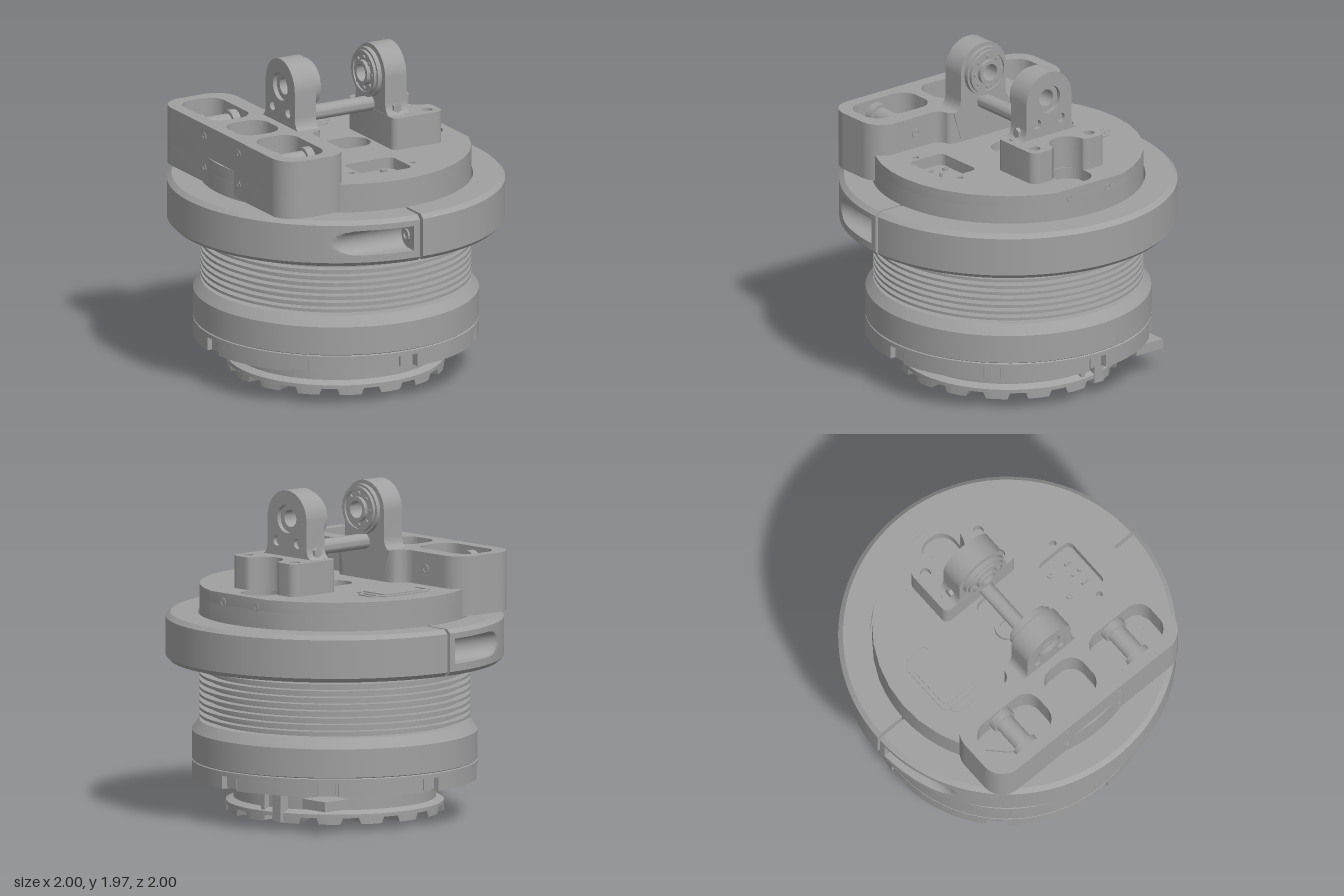
import * as THREE from 'three';
import { toCreasedNormals } from 'three/addons/utils/BufferGeometryUtils.js';

const PI = Math.PI;

export function createModel() {
  const root = new THREE.Group();
  root.name = 'clampedActuator';
  const metal = new THREE.MeshStandardMaterial({ color: 0xa0a0a0, side: THREE.DoubleSide });
  metal.name = 'grey metal';

  const add = (name, geo, x = 0, y = 0, z = 0) => {
    const m = new THREE.Mesh(toCreasedNormals(geo, 0.5), metal);
    m.name = name;
    m.position.set(x, y, z);
    root.add(m);
    return m;
  };
  const lathe = (pts, seg = 72, p0 = 0, len = PI * 2) =>
    new THREE.LatheGeometry(pts.map(p => new THREE.Vector2(p[0], p[1])), seg, p0, len);
  // Shape drawn in x,z and raised from y0 to y1
  const plan = (shape, y0, y1) =>
    new THREE.ExtrudeGeometry(shape, { depth: y1 - y0, bevelEnabled: false, curveSegments: 16 })
      .rotateX(PI / 2).translate(0, y1, 0);
  const poly = pts => new THREE.Shape(pts.map(p => new THREE.Vector2(p[0], p[1])));
  const circle = (x, z, r) => new THREE.Shape().absarc(x, z, r, 0, PI * 2);
  const rrect = (x0, x1, z0, z1, r) => new THREE.Shape()
    .absarc(x1 - r, z1 - r, r, 0, PI / 2).absarc(x0 + r, z1 - r, r, PI / 2, PI)
    .absarc(x0 + r, z0 + r, r, PI, PI * 1.5).absarc(x1 - r, z0 + r, r, PI * 1.5, PI * 2).closePath();
  const cut = (shape, ...holes) => { shape.holes.push(...holes); return shape; };
  // Hollow or solid turned part along x
  const turnX = (pts, seg = 32) => lathe(pts, seg).rotateZ(-PI / 2);
  const tubePts = (ri, ro, h) => [[ri, 0], [ro, 0], [ro, h], [ri, h], [ri, 0]];
  const sector = (r0, r1, a0, a1) => new THREE.Shape().absarc(0, 0, r1, a0, a1).absarc(0, 0, r0, a1, a0, true).closePath();

  // Finned body and lower ring
  const body = [[0, 0.305], [0.845, 0.305], [0.845, 0.33], [0.838, 0.335], [0.845, 0.34], [0.845, 0.51], [0.8, 0.57], [0.745, 0.572]];
  for (let i = 0; i < 9; i++) {
    const y = 0.592 + i * 0.0405;
    body.push([0.745, y], [0.8, y], [0.8, y + 0.016], [0.745, y + 0.016]);
  }
  body.push([0.745, 0.94], [0.812, 0.94], [0.812, 1.12], [0, 1.12]);
  add('finnedBody', lathe(body, 96));

  // Notched bolt ring
  const rim = [];
  for (let k = 0; k < 8; k++) {
    const c = k * PI / 4, w = 0.075;
    rim.push([0.785 * Math.cos(c - w), 0.785 * Math.sin(c - w)], [0.785 * Math.cos(c + w), 0.785 * Math.sin(c + w)]);
    for (let j = 0; j <= 8; j++) {
      const a = c + w + (PI / 4 - 2 * w) * j / 8;
      rim.push([0.845 * Math.cos(a), 0.845 * Math.sin(a)]);
    }
  }
  const boltRing = cut(poly(rim), circle(0, 0, 0.71));
  for (let k = 0; k < 24; k++) if (k % 3) {
    const a = k * PI / 12;
    boltRing.holes.push(circle(0.775 * Math.cos(a), 0.775 * Math.sin(a), 0.02));
  }
  add('boltRing', plan(boltRing, 0.225, 0.305));
  for (let k = 0; k < 8; k++)
    add('notchBlock', new THREE.BoxGeometry(0.06, 0.07, 0.08).translate(0.795, 0.27, 0).rotateY(k * PI / 4));
  add('sealRing', lathe([[0.65, 0.305], [0.65, 0.2], [0.69, 0.2], [0.69, 0.305]]));

  // Base hub with four curved pockets
  const hub = circle(0, 0, 0.6);
  for (let k = 0; k < 4; k++)
    hub.holes.push(sector(0.27, 0.43, k * PI / 2 - 0.45, k * PI / 2 + 0.45));
  add('hub', plan(hub, 0.07, 0.2));
  add('hubCore', plan(circle(0, 0, 0.6), 0.2, 0.31));
  add('hubFlange', lathe([[0.45, 0.068], [0.645, 0.068], [0.645, 0.09], [0.6, 0.11]], 64));
  add('centreDisc', plan(circle(0, 0, 0.25), 0.05, 0.08));
  for (let k = 0; k < 16; k++) {
    const a = k * PI / 8;
    // Tooth tapers toward its lower face
    const tooth = plan(sector(0.45, 0.645, -0.125, 0.125), 0.03, 0.07);
    const p = tooth.attributes.position;
    for (let i = 0; i < p.count; i++) if (p.getY(i) < 0.05) p.setZ(i, p.getZ(i) * 0.8);
    add('baseTooth', tooth.rotateY(a));
  }
  for (let k = 0; k < 4; k++) {
    const a = k * PI / 2 + PI / 4;
    add('hubBolt', lathe([[0, 0.04], [0.012, 0.04], [0.012, 0.025], [0.028, 0.025], [0.028, 0.07]], 16), 0.3 * Math.cos(a), 0, 0.3 * Math.sin(a));
  }
  for (const s of [1, -1]) add('driveKey', new THREE.BoxGeometry(0.16, 0.06, 0.04), 0, 0.03, s * 0.092);
  add('sensorBlock', new THREE.BoxGeometry(0.2, 0.06, 0.2), 0.56, 0.175, -0.54);
  add('cableGuide', new THREE.BoxGeometry(0.06, 0.17, 0.03), 0.6, 0.12, -0.06);
  add('cableGuide', new THREE.BoxGeometry(0.06, 0.17, 0.07), 0.6, 0.12, -0.18);

  // Split clamp ring, built from capped sectors
  const ring = [[0.81, 0.93], [0.975, 0.93], [1, 0.955], [1, 0.999]];
  for (let i = 0; i <= 14; i++) ring.push([1, 1.075 - 0.075 * Math.cos(PI * i / 14)]);
  ring.push([1, 1.151], [1, 1.185], [0.972, 1.21], [0.81, 1.21], [0.81, 0.93]);
  const carve = geo => {
    const p = geo.attributes.position;
    for (let i = 0; i < p.count; i++) {
      const x = p.getX(i), y = p.getY(i), z = p.getZ(i), d = y - 1.075;
      if (Math.abs(d) > 0.0752 || Math.hypot(x, z) < 0.9) continue;
      const floor = 0.93 - Math.sqrt(Math.max(0, 0.075 ** 2 - d * d));
      p.setZ(i, Math.sign(z) * Math.min(Math.abs(z), floor));
    }
    return geo;
  };
  const ringSector = (a0, a1, seg, pocket) => {
    const f = pocket ? carve : g => g;
    add('clampRing', f(lathe(ring, seg, a0, a1 - a0)));
    for (const a of [a0, a1])
      add('clampRingEnd', f(new THREE.ShapeGeometry(poly(ring.slice(0, -1))).rotateY(a - PI / 2)));
  };
  const gap = 0.011, lip = 0.052;
  ringSector(gap, PI - gap, 48, false);
  ringSector(PI + gap, PI + lip, 2, false);
  ringSector(PI + lip, PI * 2 - lip, 120, true);
  ringSector(PI * 2 - lip, PI * 2 - gap, 2, false);
  for (const s of [1, -1]) add('clampScrew', turnX(tubePts(0.02, 0.038, 0.012), 20), -0.063, 1.075, s * 0.915);

  // Top plate with one flat side and recesses
  const flat = Math.acos(0.76 / 0.8);
  const disc = () => new THREE.Shape().absarc(0, 0, 0.8, flat, PI * 2 - flat).closePath();
  add('topPlateBase', plan(disc(), 1.1, 1.31));
  const plate = cut(disc(), rrect(0.46, 0.71, -0.11, 0.11, 0.1), rrect(-0.1, 0.22, -0.1, 0.1, 0.095),
    rrect(-0.17, 0.165, 0.37, 0.62, 0.04), circle(-0.21, 0.535, 0.02), circle(0.21, 0.535, 0.02));
  add('topPlate', plan(plate, 1.31, 1.38));
  add('plateBoss', lathe(tubePts(0.045, 0.075, 0.03), 32), 0, 1.31, 0);
  for (const x of [-0.085, 0.085]) {
    add('socketScrew', lathe(tubePts(0.008, 0.02, 0.015), 16), x, 1.31, 0.41);
    add('socketPin', new THREE.BoxGeometry(0.015, 0.03, 0.045), x * 0.9, 1.325, 0.535);
  }
  for (const z of [0.51, 0.56]) add('socketPost', new THREE.CylinderGeometry(0.01, 0.01, 0.03, 12), 0, 1.325, z);

  // Raised connector cover
  add('connectorTabs', plan(cut(rrect(-0.235, 0.235, -0.6, -0.44, 0.04), rrect(-0.215, 0.215, -0.58, -0.46, 0.03)), 1.37, 1.386));
  add('connectorFrame', plan(rrect(-0.185, 0.185, -0.64, -0.38, 0.04), 1.37, 1.387));
  add('connectorPanel', plan(rrect(-0.155, 0.155, -0.615, -0.405, 0.03), 1.38, 1.393));

  // Side housing with three open pockets
  const outline = () => rrect(-0.785, -0.33, -0.73, 0.73, 0.14);
  add('housingBase', plan(outline(), 1.22, 1.36));
  add('housing', plan(cut(outline(), rrect(-0.71, -0.435, -0.66, -0.21, 0.1),
    rrect(-0.71, -0.435, -0.14, 0.14, 0.1), rrect(-0.71, -0.435, 0.21, 0.66, 0.1)), 1.36, 1.575));
  const neck = new THREE.Shape();
  neck.moveTo(-0.38, -0.33);
  neck.lineTo(-0.33, -0.33);
  neck.quadraticCurveTo(-0.33, -0.26, -0.27, -0.25);
  neck.quadraticCurveTo(-0.24, -0.24, -0.24, -0.17);
  neck.lineTo(-0.24, 0.17);
  neck.quadraticCurveTo(-0.24, 0.24, -0.27, 0.25);
  neck.quadraticCurveTo(-0.33, 0.26, -0.33, 0.33);
  neck.lineTo(-0.38, 0.33);
  add('housingNeck', plan(neck, 1.37, 1.575));
  for (const s of [1, -1]) {
    add('housingPin', turnX([[0.078, 0], [0.078, 0.05], [0.058, 0.05], [0.058, 0.225], [0.078, 0.225], [0.078, 0.275]]), -0.71, 1.475, s * 0.435);
    add('housingScrew', turnX(tubePts(0.017, 0.03, 0.006), 20), -0.331, 1.475, s * 0.435);
    add('plateScrew', turnX(tubePts(0.014, 0.026, 0.006), 20), 0.758, 1.325, s * 0.145);
    for (const y of [1.31, 1.5])
      add('housingScrew', turnX(tubePts(0.012, 0.024, 0.006), 20), -0.789, y, s * 0.2);
  }

  // Right mounting foot, open toward the side
  const foot = holes => {
    const s = new THREE.Shape();
    s.moveTo(0.235, -0.235);
    s.absarc(0.275, -0.235, 0.04, PI, PI * 1.5);
    s.absarc(0.53, -0.225, 0.05, -PI / 2, 0);
    s.absarc(0.54, -0.15, 0.04, 0, PI / 2);
    s.absarc(0.56, 0, 0.11, PI * 1.5, PI / 2, true);
    s.absarc(0.54, 0.15, 0.04, -PI / 2, 0);
    s.absarc(0.53, 0.225, 0.05, 0, PI / 2);
    s.absarc(0.275, 0.235, 0.04, PI / 2, PI);
    s.closePath();
    if (holes) for (const z of [-0.205, 0.205]) for (const x of [0.31, 0.505]) s.holes.push(circle(x, z, 0.032));
    return s;
  };
  add('mountFoot', plan(foot(false), 1.375, 1.52));
  add('mountFootTop', plan(foot(true), 1.52, 1.575));

  // Pair of arched ears with bearings
  const ear = (hole, bolts) => {
    const s = new THREE.Shape();
    s.moveTo(-0.22, 1.57);
    s.quadraticCurveTo(-0.17, 1.58, -0.17, 1.65);
    s.absarc(0, 1.8, 0.17, PI, 0, true);
    s.lineTo(0.17, 1.65);
    s.quadraticCurveTo(0.17, 1.58, 0.22, 1.57);
    s.lineTo(0.17, 1.4);
    s.lineTo(-0.17, 1.4);
    s.closePath();
    s.holes.push(circle(0, 1.8, hole));
    if (bolts) s.holes.push(circle(-0.09, 1.66, 0.03), circle(0.09, 1.66, 0.03));
    return s;
  };
  const earLayer = (shape, x0, x1) => new THREE.ExtrudeGeometry(shape, { depth: x1 - x0, bevelEnabled: false, curveSegments: 24 })
    .rotateY(PI / 2).translate(x0, 0, 0);
  for (const s of [1, -1]) {
    const span = (a, b) => s > 0 ? [a, b] : [-b, -a];
    add('ear', earLayer(ear(0.052, false), ...span(0.237, 0.355)));
    add('earFace', earLayer(ear(0.085, true), ...span(0.355, 0.382)));
    const bearing = add('bearing', turnX([[0.052, 0.06], [0.052, -0.012], [0.075, -0.012], [0.075, 0.012], [0.115, 0.012],
      [0.115, 0], [0.135, 0], [0.135, 0.018], [0.15, 0.018], [0.15, 0.045], [0.13, 0.045], [0.13, 0.062]], 48), s * 0.182, 1.8, 0);
    if (s < 0) bearing.rotation.y = PI;
    for (let k = 0; k < 8; k++) {
      const a = k * PI / 4;
      add('bearingScrew', turnX([[0, -0.006], [0.012, -0.006], [0.012, 0.006], [0, 0.006]], 12),
        s * 0.19, 1.8 + 0.095 * Math.cos(a), 0.095 * Math.sin(a));
    }
  }
  add('crossRod', turnX([[0, 0], [0.046, 0], [0.046, 0.5], [0, 0.5]]), -0.25, 1.605, 0);
  for (const s of [1, -1]) add('earBolt', new THREE.CylinderGeometry(0.03, 0.03, 0.06, 6).rotateX(PI / 2), 0.31, 1.61, s * 0.165);
  return root;
}
